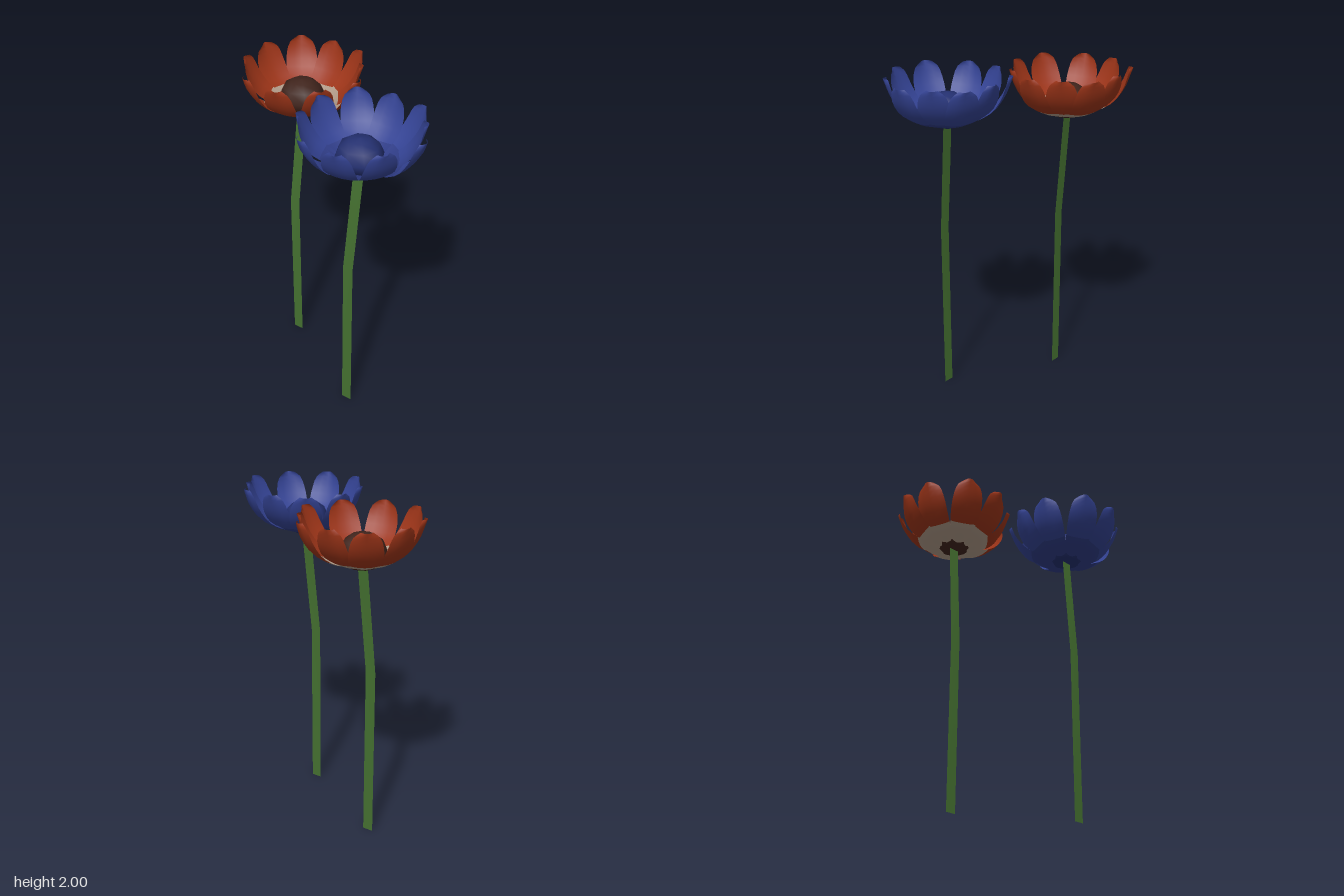
import * as THREE from 'three';

const mat = (color) => new THREE.MeshStandardMaterial({ color, side: THREE.DoubleSide });

// Petal spine: x = distance from flower axis, y = height, z = half width
const spine = new THREE.CatmullRomCurve3([
  [0.08, 0.005, 0.045], [0.19, 0.045, 0.072], [0.27, 0.1, 0.09],
  [0.325, 0.18, 0.09], [0.352, 0.25, 0.07], [0.365, 0.285, 0.032],
].map((p) => new THREE.Vector3(...p)));

// Angle round the axis (degrees) and outward reach of each petal
const petals = [
  [2, 0.39], [31, 0.355], [59, 0.385], [91, 0.352], [126, 0.37],
  [164, 0.35], [200, 0.345], [244, 0.365], [282, 0.355], [324, 0.35],
];

// Cupped strip of petal between two fractions of its length
function petalGeometry(from, to, reach) {
  const geo = new THREE.PlaneGeometry(1, 1, 4, 8);
  const pos = geo.attributes.position;
  for (let i = 0; i < pos.count; i++) {
    const u = pos.getX(i) * 2;
    const t = from + (to - from) * (pos.getY(i) + 0.5);
    const p = spine.getPoint(t);
    const cup = 0.025 * u * u * t;
    pos.setXYZ(i, p.x * (reach / 0.365) - cup, p.y + 0.012 * u * u * (1 - t), -u * p.z);
  }
  geo.computeVertexNormals();
  return geo;
}

// Eight-sided domed centre
function heartGeometry() {
  const profile = [[0, 0], [0.08, 0], [0.125, 0.04], [0.135, 0.085], [0.11, 0.145], [0.06, 0.18], [0, 0.19]];
  const geo = new THREE.LatheGeometry(profile.map(([r, y]) => new THREE.Vector2(r, y)), 8);
  return geo;
}

// Flat ribbon stem with one bend, ending under the flower
function stemGeometry(height) {
  const geo = new THREE.PlaneGeometry(0.065, 1, 1, 2);
  const pos = geo.attributes.position;
  const rows = [[0, height, 0], [-0.022, 1.05, 0.065], [-0.022, 0, 0.065]];
  for (let i = 0; i < pos.count; i++) {
    const [x, y, z] = rows[Math.floor(i / 2)];
    pos.setXYZ(i, pos.getX(i) + x, y, z);
  }
  geo.computeVertexNormals();
  return geo;
}

function flower(name, x, z, base, colors) {
  const group = new THREE.Group();
  group.name = name;
  group.position.set(x, 0, z);
  const add = (part, geo, material, y = 0) => {
    const mesh = new THREE.Mesh(geo, material);
    mesh.name = part;
    mesh.position.y = y;
    group.add(mesh);
    return mesh;
  };
  add('stem', stemGeometry(base + 0.01), mat(0x447030));
  add('flowerCentre', heartGeometry(), mat(colors.heart), base);
  const blade = mat(colors.blade);
  const foot = mat(colors.foot);
  petals.forEach(([deg, reach]) => {
    const turn = THREE.MathUtils.degToRad(deg);
    add('petalBase', petalGeometry(0, 0.26, reach), foot, base).rotation.y = turn;
    add('petal', petalGeometry(0.26, 1, reach), blade, base).rotation.y = turn;
  });
  return group;
}

export function createModel() {
  const model = new THREE.Group();
  model.name = 'twoFlowers';
  model.add(
    flower('redFlower', -0.342, -0.175, 1.695, { blade: 0x9c3418, foot: 0xb09a88, heart: 0x40241c }),
    flower('blueFlower', 0.295, 0.183, 1.71, { blade: 0x344394, foot: 0x2f3c86, heart: 0x243070 }),
  );
  return model;
}
